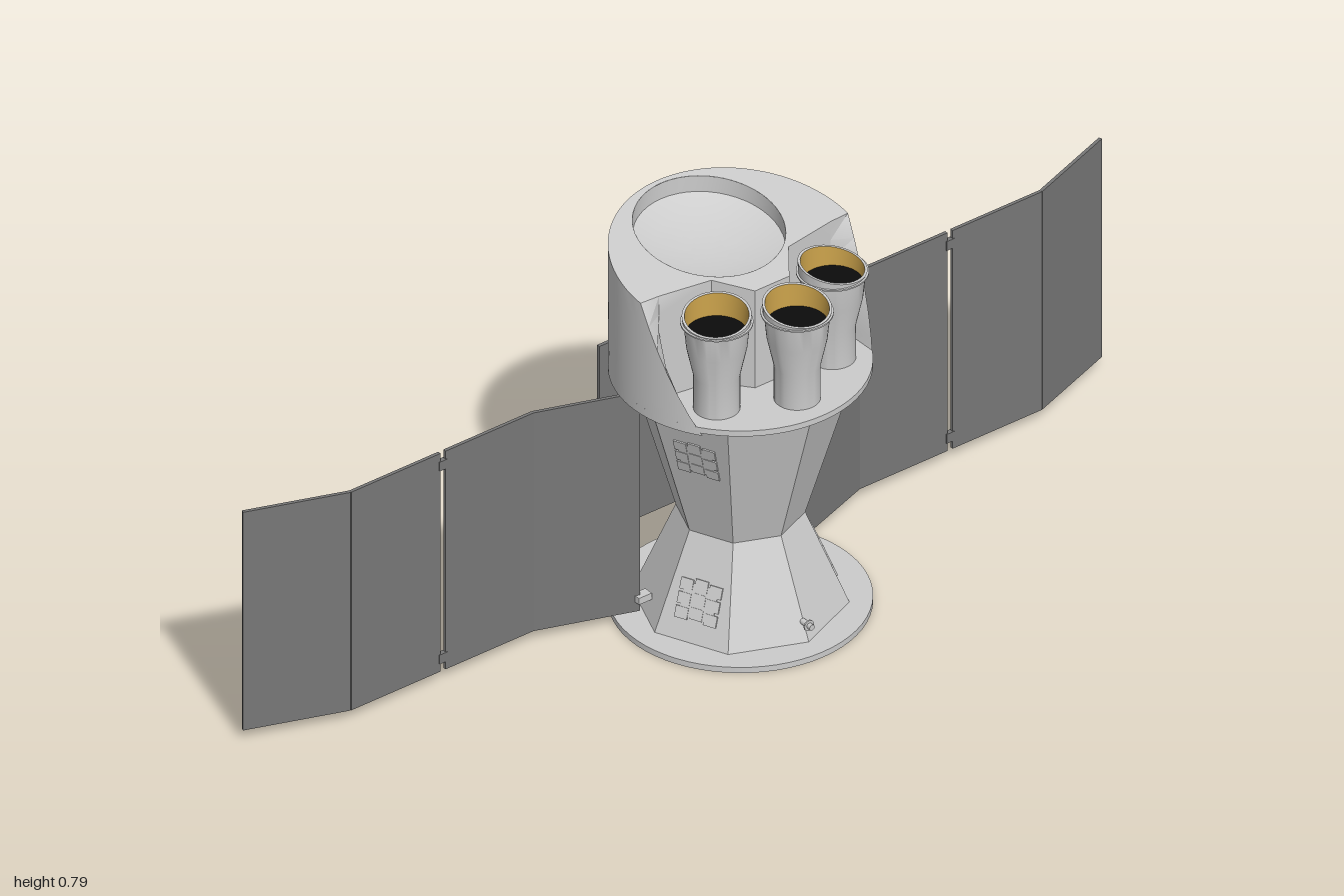
import * as THREE from 'three';
import { toCreasedNormals } from 'three/addons/utils/BufferGeometryUtils.js';

const CX = 0.022, R = 0.242;
const paint = (color, extra = {}) => new THREE.MeshStandardMaterial({ color, ...extra });
const grey = paint(0xcccccc);
const greyOpen = paint(0xcccccc, { side: THREE.DoubleSide });
const facet = paint(0xcccccc, { flatShading: true });
const panelBack = paint(0x777777), cellBlue = paint(0x37324f), seam = paint(0x77738a);
const gold = paint(0xc8a04a, { side: THREE.DoubleSide }), black = paint(0x0c0c0c);

// slanted plane that trims the top of the drum
const topY = (x) => 0.793 - 0.163 * (x + 0.223);

function add(parent, name, geo, mat, x = 0, y = 0, z = 0) {
  const m = new THREE.Mesh(geo, mat);
  m.name = name;
  m.position.set(x, y, z);
  parent.add(m);
  return m;
}
const box = (p, name, mat, w, h, d, x, y, z) => add(p, name, new THREE.BoxGeometry(w, h, d), mat, x, y, z);
const lathe = (pts, n = 40) => new THREE.LatheGeometry(pts.map((p) => new THREE.Vector2(...p)), n);
function moveY(geo, rule) {
  const p = geo.attributes.position;
  for (let i = 0; i < p.count; i++) p.setY(i, rule(p.getX(i), p.getY(i)));
  geo.computeVertexNormals();
  return geo;
}

// drum outline at height fraction t: long arc, then the notch round the small tubes
function drumOutline(t) {
  const a = Math.acos((0.16 - 0.127 * t - CX) / R), n = 56, pts = [];
  for (let i = 0; i <= n; i++) {
    const b = a + (2 * Math.PI - 2 * a) * i / n;
    pts.push([CX + R * Math.cos(b), R * Math.sin(b)]);
  }
  return pts.concat([[0.035, -0.2], [0.05, -0.09], [0.115, -0.04], [0.115, 0.04], [0.05, 0.09], [0.035, 0.2]]);
}

function buildDrum(g) {
  const rows = 6, pos = [], idx = [];
  let n = 0;
  for (let r = 0; r <= rows; r++) {
    const t = r / rows, pts = drumOutline(t);
    n = pts.length;
    for (const [x, z] of pts) pos.push(x, 0.51 + t * (topY(x) - 0.51), z);
  }
  for (let r = 0; r < rows; r++) for (let i = 0; i < n; i++) {
    const a = r * n + i, b = r * n + (i + 1) % n;
    idx.push(a, a + n, b, b, a + n, b + n);
  }
  const wall = new THREE.BufferGeometry();
  wall.setAttribute('position', new THREE.Float32BufferAttribute(pos, 3));
  wall.setIndex(idx);
  add(g, 'drumWall', toCreasedNormals(wall, 0.5), greyOpen);

  // slanted lid with the main aperture
  const shape = new THREE.Shape(drumOutline(1).map(([x, z]) => new THREE.Vector2(x, z)));
  shape.holes.push(new THREE.Path().absarc(-0.07, 0, 0.14, 0, Math.PI * 2, true));
  add(g, 'drumLid', moveY(new THREE.ShapeGeometry(shape, 48).rotateX(-Math.PI / 2), topY), greyOpen);
  const bowl = lathe([[0, -0.058], [0.05, -0.055], [0.1, -0.047], [0.14, -0.034], [0.14, 0]], 48);
  moveY(bowl, (x, y) => y + topY(x - 0.07));
  add(g, 'apertureBowl', toCreasedNormals(bowl, 0.6), greyOpen, -0.07);
}

// small tube with a slanted rim, gold lining and dark floor
function buildTube(g, x, z, yaw) {
  const t = new THREE.Group();
  t.name = 'smallTube';
  t.position.set(x, 0, z);
  t.rotation.y = yaw;
  const slant = (px, y) => (y > 0.72 ? y - 0.17 * px : y);
  const outer = lathe([[0.043, 0.525], [0.043, 0.6], [0.056, 0.66], [0.061, 0.711], [0.067, 0.712],
    [0.067, 0.715], [0.063, 0.715], [0.064, 0.7275], [0.059, 0.7275]]);
  add(t, 'tubeShell', toCreasedNormals(moveY(outer, slant), 0.4), greyOpen);
  add(t, 'tubeLining', moveY(lathe([[0.056, 0.685], [0.059, 0.7275]]), slant), gold);
  add(t, 'tubeFloor', new THREE.CircleGeometry(0.057, 40).rotateX(-Math.PI / 2), black, 0, 0.69, 0);
  g.add(t);
}

// thin upright panel between two plan points [x, z], cells on its -x side
function buildPanel(g, a, b) {
  if (a[1] > b[1]) [a, b] = [b, a];
  const dx = b[0] - a[0], dz = b[1] - a[1], len = Math.hypot(dx, dz);
  const p = new THREE.Group();
  p.name = 'wingPanel';
  p.position.set((a[0] + b[0]) / 2, 0.26, (a[1] + b[1]) / 2);
  p.rotation.y = Math.atan2(dx, dz);
  box(p, 'panelBoard', panelBack, 0.007, 0.475, len, 0, 0, 0);
  box(p, 'cellBacking', seam, 0.001, 0.47, len - 0.004, -0.004, 0, 0);
  const cols = Math.round(len / 0.024), w = (len - 0.006) / cols;
  for (let i = 0; i < cols; i++) for (let j = 0; j < 4; j++) {
    box(p, 'cell', cellBlue, 0.001, 0.115, w - 0.003, -0.0048, (j - 1.5) * 0.1175, (i - (cols - 1) / 2) * w);
  }
  g.add(p);
}

function buildWing(g, s) {
  const path = [[-0.042, 0.185], [-0.11, 0.38], [-0.11, 0.585], [-0.11, 0.597], [-0.11, 0.805], [-0.18, 1]];
  path.forEach((q, i) => {
    if (i === 0 || i === 3) return;
    const p = path[i - 1];
    buildPanel(g, [p[0], s * p[1]], [q[0], s * q[1]]);
  });
  for (const y of [0.05, 0.47]) {
    box(g, 'wingHinge', panelBack, 0.01, 0.02, 0.018, -0.11, y, s * 0.591);
    box(g, 'wingRootBracket', grey, 0.02, 0.014, 0.03, -0.04, y, s * 0.18);
  }
}

// shallow equipment plates lying on one face of the waisted body
function buildPatch(g, yaw, y, dist, tilt) {
  const turn = new THREE.Group();
  turn.name = 'equipmentPatch';
  turn.position.set(CX, y, 0);
  turn.rotation.y = yaw;
  const p = new THREE.Group();
  p.position.z = dist;
  p.rotation.x = tilt;
  box(p, 'patchPlate', grey, 0.07, 0.065, 0.004, 0, 0, 0);
  for (let i = 0; i < 3; i++) for (let j = 0; j < 3; j++) {
    box(p, 'patchTile', grey, 0.026, 0.022, 0.006, (i - 1) * 0.03, (j - 1) * 0.027 + (i % 2) * 0.004, 0);
  }
  turn.add(p);
  g.add(turn);
}

export function createModel() {
  const g = new THREE.Group();
  g.name = 'spaceTelescope';

  // base, shelf and eight-sided waisted body
  add(g, 'baseDisc', new THREE.CylinderGeometry(R, R, 0.012, 64), grey, CX, 0.006, 0);
  add(g, 'shelfDisc', new THREE.CylinderGeometry(R, R, 0.012, 64), grey, CX, 0.521, 0);
  const body = lathe([[0, 0.01], [0.2, 0.012], [0.119, 0.202], [0.212, 0.516], [0, 0.518]], 8);
  add(g, 'waistedBody', body, facet, CX, 0, 0);
  for (const yaw of [Math.PI / 8, Math.PI * 7 / 8]) {
    buildPatch(g, yaw, 0.4, 0.164, 0.266);
    buildPatch(g, yaw, 0.085, 0.156, -0.379);
  }

  // end pins with a collar
  for (const s of [1, -1]) {
    const pin = new THREE.CylinderGeometry(0.006, 0.006, 0.06, 16).rotateZ(Math.PI / 2);
    add(g, 'pin', pin, grey, CX + s * 0.18, 0.048, 0);
    const collar = new THREE.CylinderGeometry(0.011, 0.011, 0.003, 16).rotateZ(Math.PI / 2);
    add(g, 'pinCollar', collar, grey, CX + s * 0.2, 0.048, 0);
  }

  // upper drum and three small tubes
  buildDrum(g);
  buildTube(g, 0.188, 0, 0);
  buildTube(g, 0.122, 0.135, -0.85);
  buildTube(g, 0.122, -0.135, 0.85);

  // folding wings
  for (const s of [1, -1]) buildWing(g, s);

  // fixed back panel with a cut-out at its foot
  const plate = new THREE.Shape();
  [[-0.16, 0.02], [-0.1, 0.02], [-0.08, 0.1], [0.08, 0.1], [0.1, 0.02], [0.16, 0.02], [0.16, 0.51], [-0.16, 0.51]]
    .forEach(([z, y], i) => (i ? plate.lineTo(z, y) : plate.moveTo(z, y)));
  const plateGeo = new THREE.ExtrudeGeometry(plate, { depth: 0.007, bevelEnabled: false }).rotateY(-Math.PI / 2);
  add(g, 'backPanel', plateGeo, panelBack, -0.19, 0, 0);
  for (let i = 0; i < 12; i++) for (let j = 0; j < 3; j++) {
    box(g, 'backCell', cellBlue, 0.002, 0.13, 0.023, -0.1975, 0.17 + j * 0.135, (i - 5.5) * 0.0263);
  }

  // instrument boxes on the back
  box(g, 'instrumentBox', grey, 0.035, 0.115, 0.125, -0.231, 0.4925, 0.022);
  box(g, 'instrumentFoot', grey, 0.05, 0.07, 0.125, -0.222, 0.47, 0.022);
  box(g, 'sensorBox', grey, 0.06, 0.042, 0.055, -0.23, 0.46, -0.058);
  box(g, 'sensorWindow', black, 0.006, 0.026, 0.034, -0.262, 0.46, -0.058);
  return g;
}
